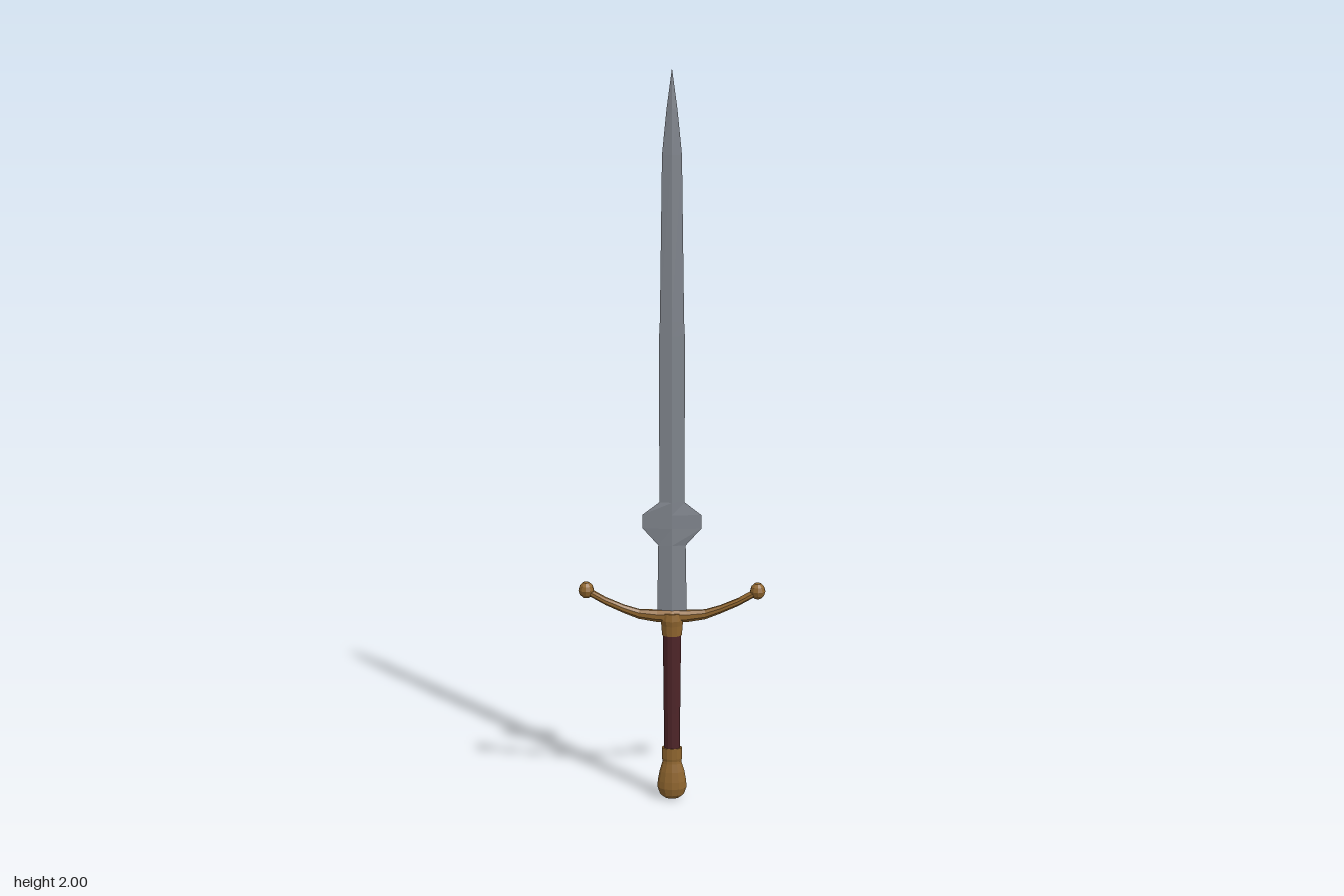
import * as THREE from 'three';

// Skin closed rings of points (counter-clockwise seen from the far end), flat shaded and capped.
function loft(rings) {
  const pos = [];
  const tri = (...pts) => pts.forEach((p) => pos.push(...p));
  const n = rings[0].length;
  for (let r = 0; r < rings.length - 1; r++) {
    const a = rings[r], b = rings[r + 1];
    for (let i = 0; i < n; i++) {
      const j = (i + 1) % n;
      tri(a[i], a[j], b[j]);
      tri(a[i], b[j], b[i]);
    }
  }
  const first = rings[0], last = rings[rings.length - 1];
  for (let i = 1; i < n - 1; i++) {
    tri(first[0], first[i + 1], first[i]);
    tri(last[0], last[i], last[i + 1]);
  }
  const g = new THREE.BufferGeometry();
  g.setAttribute('position', new THREE.Float32BufferAttribute(pos, 3));
  g.computeVertexNormals();
  return g;
}

// Faceted lathe, flattened front to back.
function turned(profile, depth, sides = 12) {
  const g = new THREE.LatheGeometry(profile.map(([r, y]) => new THREE.Vector2(r, y)), sides);
  g.scale(1, 1, depth);
  const flat = g.toNonIndexed();
  flat.computeVertexNormals();
  return flat;
}

export function createModel() {
  const steel = new THREE.MeshStandardMaterial({ color: 0x82878f });
  const brass = new THREE.MeshStandardMaterial({ color: 0x90662f });
  const leather = new THREE.MeshStandardMaterial({ color: 0x4e2428 });
  steel.name = 'steel';
  brass.name = 'brass';
  leather.name = 'leather';

  const model = new THREE.Group();
  model.name = 'sword';
  const add = (name, geometry, material) => {
    const m = new THREE.Mesh(geometry, material);
    m.name = name;
    model.add(m);
    return m;
  };

  // Blade with parrying lugs: diamond sections given as height, half width, half thickness
  const blade = [
    [0.53, 0.04, 0.008], [0.725, 0.037, 0.007], [0.772, 0.079, 0.006],
    [0.81, 0.079, 0.006], [0.845, 0.034, 0.006], [1.3, 0.034, 0.0055],
    [1.34, 0.032, 0.0055], [1.78, 0.026, 0.005], [1.9, 0.014, 0.004], [2.0, 0.0005, 0.0005],
  ];
  add('blade', loft(blade.map(([y, w, t]) => [[w, y, 0], [0, y, -t], [-w, y, 0], [0, y, t]])), steel);

  // Upswept crossguard: x, centre height, half height, half depth
  const arm = [
    [0, 0.526, 0.017, 0.017], [0.04, 0.526, 0.016, 0.014], [0.09, 0.531, 0.013, 0.01],
    [0.13, 0.545, 0.011, 0.01], [0.18, 0.567, 0.01, 0.012], [0.225, 0.593, 0.01, 0.014],
  ];
  const stations = [...arm.slice(1).reverse().map(([x, ...rest]) => [-x, ...rest]), ...arm];
  add('crossguard', loft(stations.map(([x, y, h, d]) =>
    Array.from({ length: 8 }, (_, i) => {
      const a = ((i + 0.5) * Math.PI) / 4;
      return [x, y + h * 1.08 * Math.sin(a), -d * 1.08 * Math.cos(a)];
    }))), brass);

  // Knobs on the guard tips
  const knob = [[0, -0.022], [0.009, -0.021], [0.018, -0.012], [0.0215, 0], [0.018, 0.012], [0.009, 0.021], [0, 0.022]];
  for (const side of [-1, 1]) {
    add(side > 0 ? 'leftKnob' : 'rightKnob', turned(knob, 1, 10), brass)
      .position.set(side * 0.232, 0.598, 0);
  }

  // Collar under the guard
  add('collar', turned([[0, 0.472], [0.027, 0.472], [0.029, 0.5], [0.032, 0.515], [0.028, 0.535], [0, 0.535]], 0.75), brass);

  // Grip, slightly swollen towards the guard
  add('grip', turned([[0.022, 0.14], [0.0225, 0.25], [0.024, 0.4], [0.025, 0.48]], 0.74), leather);

  // Pommel: ferrule and flared bulb
  add('pommel', turned([
    [0, 0], [0.02, 0.002], [0.033, 0.012], [0.04, 0.032], [0.039, 0.052], [0.034, 0.08],
    [0.027, 0.103], [0.026, 0.11], [0.028, 0.117], [0.028, 0.148], [0, 0.148],
  ], 0.64), brass);

  return model;
}
